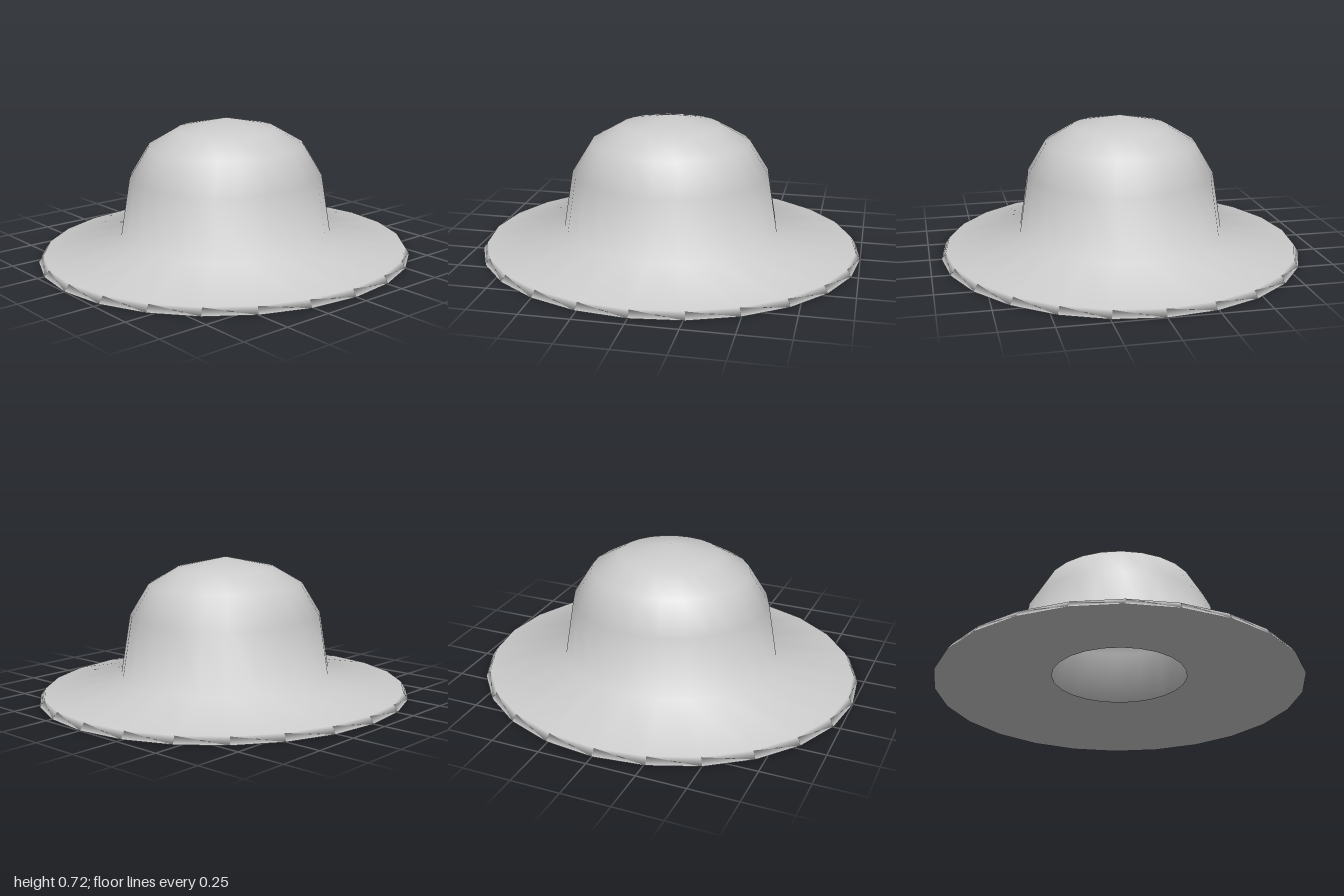
import * as THREE from 'three';
import { mergeVertices } from 'three/addons/utils/BufferGeometryUtils.js';

const SIDES = 24;
const DEPTH_SCALE = 0.94; // slightly oval, narrower front to back

// Half profile [radius, height]
const PROFILE = [
  [0.37, 0.075], // head opening
  [1.0, 0.0],    // lower rim
  [0.975, 0.035], // upper rim
  [0.565, 0.115], // brim meets crown
  [0.515, 0.42],
  [0.415, 0.58],
  [0.265, 0.665],
  [0, 0.72],     // crown top
];

export function createModel() {
  const group = new THREE.Group();
  group.name = 'brimmedHat';

  // Brim and crown as one smooth shell, open underneath
  const points = PROFILE.map(([r, y]) => new THREE.Vector2(r, y));
  let geometry = new THREE.LatheGeometry(points, SIDES);
  geometry.scale(1, 1, DEPTH_SCALE);

  // Weld the seam and the top so the shading runs on smoothly
  geometry.deleteAttribute('normal');
  geometry.deleteAttribute('uv');
  geometry = mergeVertices(geometry, 1e-4);
  geometry.computeVertexNormals();

  const material = new THREE.MeshStandardMaterial({
    color: 0xcccccc,
    side: THREE.DoubleSide,
  });
  const shell = new THREE.Mesh(geometry, material);
  shell.name = 'crownAndBrim';
  group.add(shell);
  return group;
}
